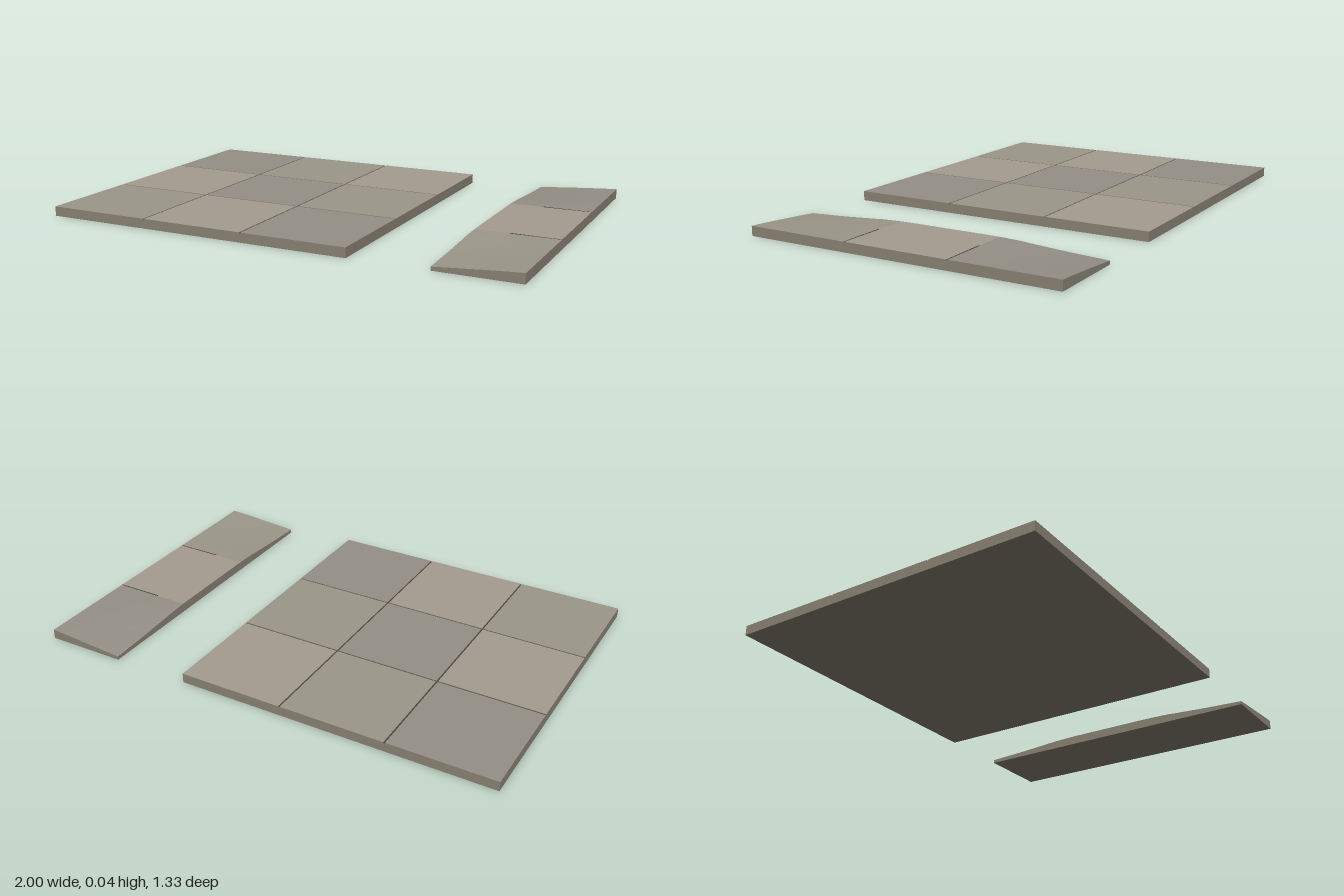
import * as THREE from 'three';

const mat = (color) => new THREE.MeshStandardMaterial({ color, flatShading: true, roughness: 0.9 });

export function createModel() {
  const model = new THREE.Group();
  model.name = 'pavedFloorAndRamp';

  const side = mat(0x8c8476);
  const joint = mat(0x4a463d);
  const stones = [mat(0x959087), mat(0x9c978a), mat(0xa59c8f)]; // cool, olive, warm

  const H = 0.04, TILE = 0.4444, GAP = 0.007, LIP = 0.003;
  const half = TILE * 1.5;

  const add = (parent, name, geometry, material, x, y, z) => {
    const mesh = new THREE.Mesh(geometry, material);
    mesh.name = name;
    mesh.position.set(x, y, z);
    parent.add(mesh);
    return mesh;
  };

  // Square floor: a bed with dark joints and nine paving stones on it
  const floor = new THREE.Group();
  floor.name = 'floor';
  model.add(floor);
  const bedH = H - LIP, floorX = -1 + half;
  add(floor, 'floorBed', new THREE.BoxGeometry(half * 2, bedH, half * 2),
    [side, side, joint, side, side, side], floorX, bedH / 2, 0);

  for (let row = 0; row < 3; row++) {
    for (let col = 0; col < 3; col++) {
      // Stones meet the outer edge flush and leave a gap only at the joints
      const trim = (i) => [i > 0 ? GAP / 2 : 0, i < 2 ? GAP / 2 : 0];
      const [l, r] = trim(col), [b, f] = trim(row);
      const top = stones[(col - row + 3) % 3];
      add(floor, 'pavingStone', new THREE.BoxGeometry(TILE - l - r, LIP, TILE - b - f),
        [side, side, top, side, side, side],
        floorX + (col - 1) * TILE + (l - r) / 2, H - LIP / 2, (row - 1) * TILE + (b - f) / 2);
    }
  }

  // Separate strip: level in the middle, both ends worn down towards the inner edge
  const strip = new THREE.Group();
  strip.name = 'wornStrip';
  model.add(strip);
  const x0 = 0.661, x1 = 1, width = x1 - x0;
  const wear = [[0, 0], [0.2, 0], [0.27, 0.08], [0.31, 0.14], [0.36, 0.3], [0.5, 0.68], [0.67, 1]];
  const wearAt = (z) => {
    const a = Math.abs(z);
    const i = Math.max(1, wear.findIndex(([d]) => d >= a));
    const [d0, w0] = wear[i - 1], [d1, w1] = wear[i];
    return w0 + (w1 - w0) * (a - d0) / (d1 - d0);
  };
  const height = (x, z) => {
    const t = (x1 - x) / width; // 0 at the outer edge, 1 at the inner edge
    return H - 0.0015 * t - 0.024 * Math.pow(t, 1.15) * wearAt(z);
  };

  for (let row = 0; row < 3; row++) {
    const zc = (row - 1) * TILE;
    const geo = new THREE.BoxGeometry(width, H, TILE, 6, 1, 10);
    geo.translate((x0 + x1) / 2, H / 2, zc);
    const p = geo.attributes.position;
    for (let i = 0; i < p.count; i++) {
      if (p.getY(i) > H / 2) p.setY(i, height(p.getX(i), p.getZ(i)));
    }
    geo.computeVertexNormals();
    const top = stones[(3 - row) % 3];
    add(strip, 'stripStone', geo, [side, side, top, side, side, side], 0, 0, 0);
  }

  // What is left of the joints across the strip
  for (const s of [-1, 1]) {
    add(strip, 'stripJoint', new THREE.BoxGeometry(0.2, 0.002, 0.005), joint,
      x1 - 0.1, H - 0.001, s * TILE / 2);
  }

  return model;
}
